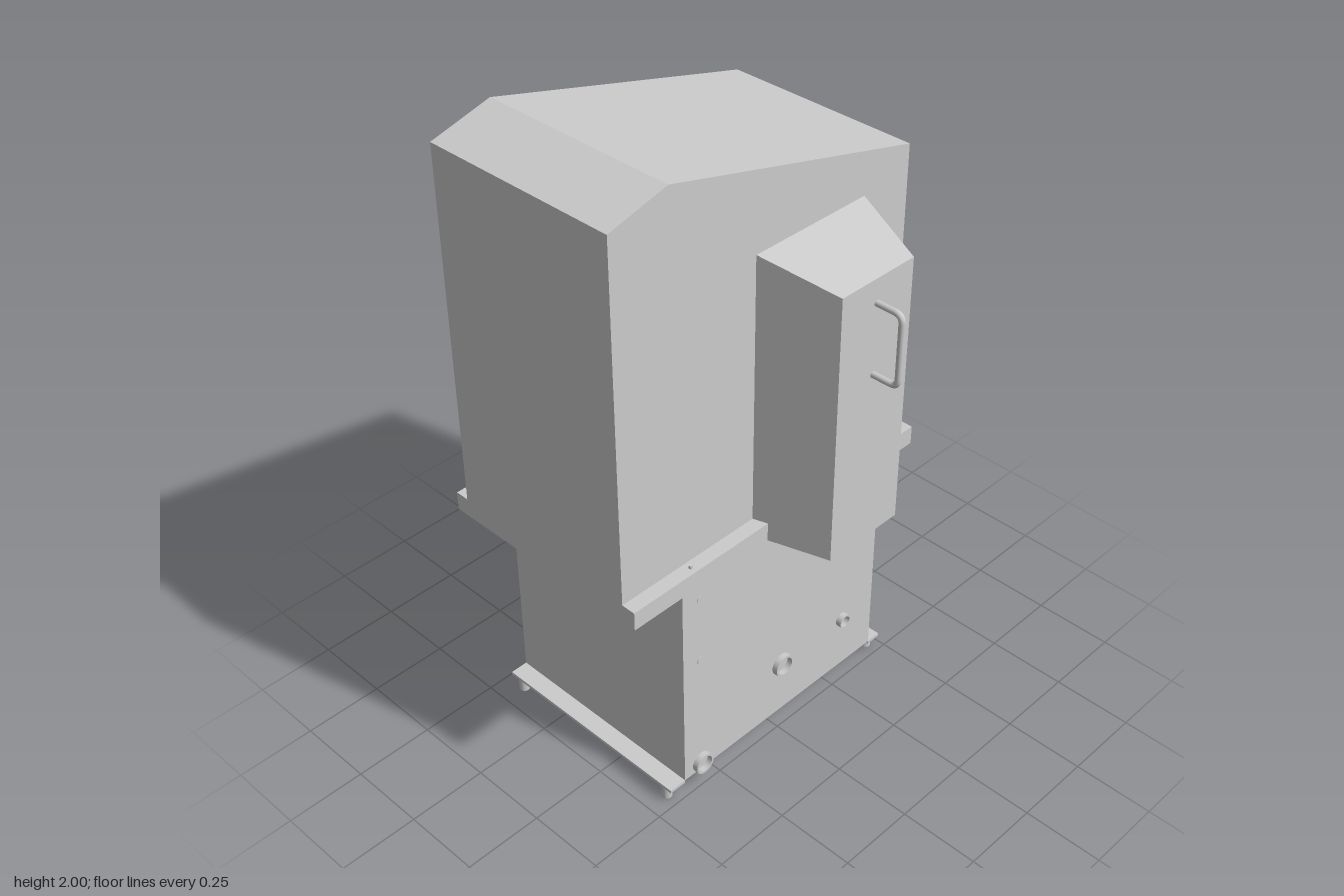
import * as THREE from 'three';

export function createModel() {
  const model = new THREE.Group();
  const grey = new THREE.MeshStandardMaterial({ color: 0xcccccc });
  const greyThin = new THREE.MeshStandardMaterial({ color: 0xcccccc, side: THREE.DoubleSide });
  const dark = new THREE.MeshStandardMaterial({ color: 0x333333 });

  const add = (name, geometry, material = grey, parent = model) => {
    const mesh = new THREE.Mesh(geometry, material);
    mesh.name = name;
    parent.add(mesh);
    return mesh;
  };
  // Box given by its limits on each axis
  const box = (name, x0, x1, y0, y1, z0, z1, material) => {
    const mesh = add(name, new THREE.BoxGeometry(x1 - x0, y1 - y0, z1 - z0), material);
    mesh.position.set((x0 + x1) / 2, (y0 + y1) / 2, (z0 + z1) / 2);
    return mesh;
  };
  const shapeOf = (pts) => new THREE.Shape(pts.map(([x, y]) => new THREE.Vector2(x, y)));
  const extrude = (name, shape, depth, z, material) => {
    const geo = new THREE.ExtrudeGeometry(shape, { depth, bevelEnabled: false, curveSegments: 16 });
    const mesh = add(name, geo, material);
    mesh.position.z = z;
    return mesh;
  };
  const cylinder = (name, r, h, x, y, z, material) => {
    const mesh = add(name, new THREE.CylinderGeometry(r, r, h, 24), material);
    mesh.position.set(x, y, z);
    return mesh;
  };

  // Lower cabinet with side rails and feet
  box('cabinet', -0.385, 0.43, 0.055, 0.78, -0.46, 0.24);
  for (const [x0, x1, footX] of [[-0.443, -0.385, -0.425], [0.43, 0.48, 0.461]]) {
    box('footRail', x0, x1, 0.045, 0.055, -0.46, 0.24);
    for (const z of [0.205, -0.425]) cylinder('foot', 0.016, 0.05, footX, 0.025, z);
  }

  // Hood: a bent sheet for sides and roof, closed by front and back walls
  const X0 = -0.565, X1 = 0.52, ZB = -0.43, ZF = 0.2, T = 0.006;
  extrude('hoodSidesAndRoof', shapeOf([
    [X0, 0.77], [X0, 1.95], [-0.37, 2], [X1, 1.765], [X1, 0.83],
    [X1 - T, 0.83], [X1 - T, 1.76], [-0.37, 1.994], [X0 + T, 1.945], [X0 + T, 0.77],
  ]), ZF - ZB, ZB);
  extrude('hoodBackWall', shapeOf([
    [X0, 0.83], [X1, 0.83], [X1, 1.765], [-0.37, 2], [X0, 1.95],
  ]), T, ZB);
  extrude('hoodFrontWall', shapeOf([
    [X0, 0.83], [-0.06, 0.83], [-0.06, 1.66], [0.335, 1.66], [0.335, 0.83],
    [X1, 0.83], [X1, 1.765], [-0.37, 2], [X0, 1.95],
  ]), T, ZF - T);

  // Flange: a ledge around front, right and back with a downturned lip
  const FB = -0.475, FF = 0.245, FX = 0.565;
  const ledge = (x0, x1, z0, z1) => box('flangeLedge', x0, x1, 0.824, 0.83, z0, z1);
  const lip = (x0, x1, z0, z1) => box('flangeLip', x0, x1, 0.77, 0.83, z0, z1);
  ledge(X0, FX, FB, ZB + T);
  lip(X0, FX, FB, FB + T);
  ledge(X1 - T, FX, ZB, ZF);
  lip(FX - T, FX, FB, FF);
  for (const [x0, x1] of [[X0, -0.055], [0.328, FX]]) {
    ledge(x0, x1, ZF - T, FF);
    lip(x0, x1, FF - T, FF);
  }
  for (const [z0, z1] of [[FB, ZB], [ZF, FF]]) lip(X0, X0 + T, z0, z1);
  for (const x of [-0.335, 0.378])
    for (const z of [0.223, -0.453]) cylinder('flangeBolt', 0.006, 0.012, x, 0.834, z);

  // Tapered front housing, open underneath: left, front, right and top sheets
  const outline = [[-0.07, ZF, 1.68], [0, 0.427, 1.62], [0.275, 0.427, 1.62], [0.342, ZF, 1.68]];
  const housing = new THREE.Group();
  housing.name = 'frontHousing';
  model.add(housing);
  const panel = (name, a, b, c, d) => {
    const geo = new THREE.BufferGeometry().setFromPoints(
      [a, b, c, a, c, d].map((p) => new THREE.Vector3(...p)));
    geo.computeVertexNormals();
    add(name, geo, greyThin, housing);
  };
  for (let i = 0; i < 3; i++) {
    const [xa, za, ya] = outline[i], [xb, zb, yb] = outline[i + 1];
    panel('housingSide', [xa, 0.77, za], [xb, 0.77, zb], [xb, yb, zb], [xa, ya, za]);
  }
  const top = outline.map(([x, z, y]) => [x, y, z]);
  panel('housingTop', top[0], top[1], top[2], top[3]);

  // Bent rod handles at the front and back
  const handle = (name, zWall, zOut) => {
    const s = Math.sign(zOut), r = 0.025, yl = 1.325, yh = 1.545, x = 0.136;
    const v = (y, z) => new THREE.Vector3(x, y, z);
    const path = new THREE.CurvePath();
    path.add(new THREE.LineCurve3(v(yl, zWall), v(yl, zOut - s * r)));
    path.add(new THREE.QuadraticBezierCurve3(v(yl, zOut - s * r), v(yl, zOut), v(yl + r, zOut)));
    path.add(new THREE.LineCurve3(v(yl + r, zOut), v(yh - r, zOut)));
    path.add(new THREE.QuadraticBezierCurve3(v(yh - r, zOut), v(yh, zOut), v(yh, zOut - s * r)));
    path.add(new THREE.LineCurve3(v(yh, zOut - s * r), v(yh, zWall)));
    add(name, new THREE.TubeGeometry(path, 80, 0.0095, 14));
  };
  handle('frontHandle', 0.425, 0.511);
  handle('backHandle', -0.428, -0.511);

  // Louvres on the right wall: wedges that open downwards
  for (const z of [0.003, -0.22]) {
    for (const y of [1.742, 1.681, 1.625]) {
      const geo = new THREE.ExtrudeGeometry(
        shapeOf([[0, 0], [0, -0.032], [0.012, -0.032], [0.011, -0.02], [0.006, -0.008]]),
        { depth: 0.13, bevelEnabled: false });
      add('louvre', geo).position.set(X1, y, z - 0.065);
    }
  }

  // Pipe ports and small plugs on the cabinet front
  for (const [x, y, r] of [[0.02, 0.243, 0.037], [0.29, 0.243, 0.023], [-0.318, 0.086, 0.034]]) {
    const ring = new THREE.Shape().absarc(0, 0, r, 0, Math.PI * 2);
    ring.holes.push(new THREE.Path().absarc(0, 0, r * 0.78, 0, Math.PI * 2, true));
    extrude('pipePort', ring, 0.02, 0.238).position.set(x, y, 0.238);
  }
  for (const y of [0.717, 0.49])
    cylinder('plug', 0.012, 0.004, -0.318, y, 0.24).rotation.x = Math.PI / 2;

  // Level gauge on the cabinet back: a rounded frame, sight strip and two bolts
  const stadium = (r, h) => new THREE.Shape()
    .absarc(0, h, r, 0, Math.PI).absarc(0, -h, r, Math.PI, Math.PI * 2);
  const frame = stadium(0.029, 0.112);
  frame.holes.push(new THREE.Path(stadium(0.013, 0.055).getPoints(12)));
  extrude('gaugeFrame', frame, 0.014, 0, dark).position.set(0.36, 0.605, -0.474);
  extrude('gaugeStrip', stadium(0.013, 0.055), 0.006, 0).position.set(0.36, 0.605, -0.466);
  for (const y of [0.5, 0.71])
    cylinder('gaugeBolt', 0.015, 0.01, 0.36, y, -0.475, dark).rotation.x = Math.PI / 2;

  return model;
}
